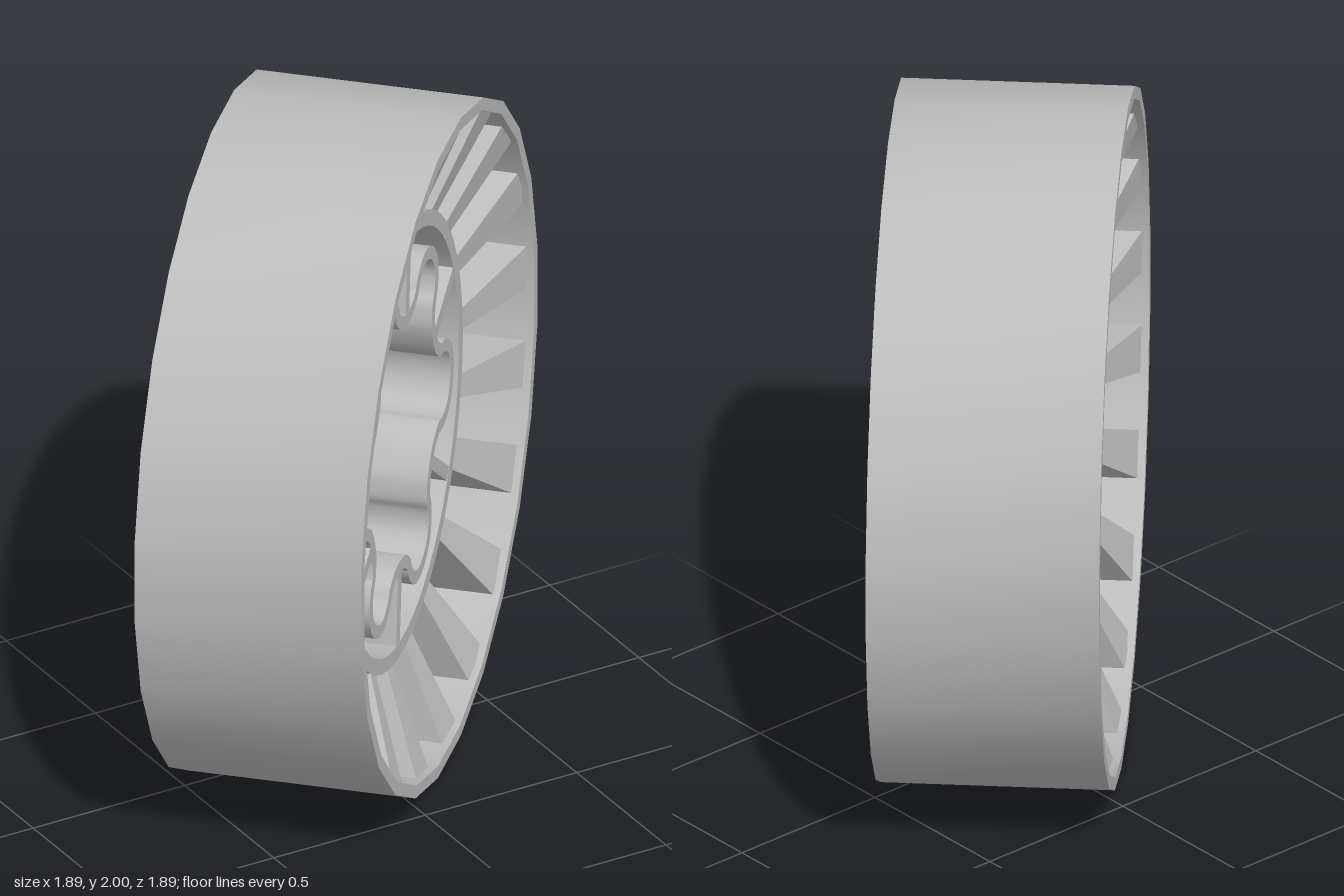
import * as THREE from 'three';
import { toCreasedNormals } from 'three/addons/utils/BufferGeometryUtils.js';

const rubberGrey = new THREE.MeshStandardMaterial({ color: 0xbcbcbc });
const RIM_HALF = 0.333, HUB_HALF = 0.2, LOBES = 6, SPOKES = 20;
const LOBE_START = THREE.MathUtils.degToRad(-6);

function part(name, geometry, parent) {
  const mesh = new THREE.Mesh(geometry, rubberGrey);
  mesh.name = name;
  parent.add(mesh);
  return mesh;
}

// Rectangular-section ring around the z axis
function ring(inner, outer, half, sides) {
  const p = [[inner, -half], [outer, -half], [outer, half], [inner, half], [inner, -half]];
  const g = new THREE.LatheGeometry(p.map(([x, y]) => new THREE.Vector2(x, y)), sides, Math.PI / sides);
  g.rotateX(Math.PI / 2);
  return toCreasedNormals(g, 0.6);
}

// Six-lobed bore outline, grown outward by the given offset
function boreOutline(offset) {
  const half = [[0.53, 0], [0.507, 0.07], [0.45, 0.1], [0.415, 0.1], [0.383, 0.113]];
  const points = [];
  for (let i = 0; i < LOBES; i++) {
    const add = (u, v, a) => points.push(new THREE.Vector3(
      u * Math.cos(a) - v * Math.sin(a), u * Math.sin(a) + v * Math.cos(a), 0));
    const lobe = LOBE_START + i * Math.PI * 2 / LOBES, flat = lobe + Math.PI / LOBES;
    for (let k = half.length - 1; k > 0; k--) add(half[k][0], -half[k][1], lobe);
    for (const [u, v] of half) add(u, v, lobe);
    add(0.368, -0.05, flat);
    add(0.368, 0.05, flat);
  }
  const curve = new THREE.CatmullRomCurve3(points, true);
  const n = 198;
  return Array.from({ length: n }, (_, i) => {
    const p = curve.getPoint(i / n), t = curve.getTangent(i / n);
    return new THREE.Vector2(p.x + t.y * offset, p.y - t.x * offset);
  });
}

function extrude(outline, hole, half) {
  const shape = new THREE.Shape(outline);
  shape.holes.push(new THREE.Path(hole));
  const g = new THREE.ExtrudeGeometry(shape, { depth: half * 2, bevelEnabled: false });
  g.translate(0, 0, -half);
  return toCreasedNormals(g, 0.6);
}

// Spoke that widens toward the rim and leans out to one face of the wheel
function spokeGeometry() {
  const box = new THREE.BoxGeometry(1, 1, 1);
  const pos = box.attributes.position;
  for (let i = 0; i < pos.count; i++) {
    const t = pos.getY(i) + 0.5;
    const z = pos.getZ(i) > 0 ? 0.19 + 0.125 * t : -0.15 + 0.2 * t;
    pos.setXYZ(i, pos.getX(i) * (0.065 + 0.075 * t), 0.64 + 0.335 * t, z);
  }
  const g = box.toNonIndexed();
  g.computeVertexNormals();
  return g;
}

export function createModel() {
  const model = new THREE.Group();
  model.name = 'wheel';
  const wheel = new THREE.Group();
  wheel.name = 'wheelBody';
  model.add(wheel);

  // Faceted outer tread
  const k = 1 / Math.cos(Math.PI / 24);
  part('tread', ring(0.963 * k, k, RIM_HALF, 24), wheel);

  // Two staggered rows of spokes, one leaning to each face, with root tabs
  const spoke = spokeGeometry();
  const tab = new THREE.BoxGeometry(0.072, 0.07, HUB_HALF + 0.14);
  tab.translate(0, 0.672, (HUB_HALF - 0.14) / 2);
  for (const side of [0, 1]) {
    const row = new THREE.Group();
    row.name = side ? 'backSpokes' : 'frontSpokes';
    row.rotation.y = side * Math.PI;
    wheel.add(row);
    for (let i = 0; i < SPOKES; i++) {
      const a = (i + 0.25) * Math.PI * 2 / SPOKES - Math.PI / 2;
      part('spoke', spoke, row).rotation.z = a;
      part('spokeTab', tab, row).rotation.z = a;
    }
  }

  // Hub: outer ring, lobed bore wall and the web between them
  part('hubRing', ring(0.622, 0.668, HUB_HALF, 60), wheel);
  part('boreWall', extrude(boreOutline(0.038), boreOutline(0), HUB_HALF), wheel);
  const disc = new THREE.Path().absarc(0, 0, 0.635, 0, Math.PI * 2).getPoints(60);
  part('hubWeb', extrude(disc, boreOutline(0.018), 0.03), wheel);

  // Ribs from the flats of the bore to the hub ring
  const rib = new THREE.BoxGeometry(0.245, 0.042, HUB_HALF * 2 - 0.002);
  rib.translate(0.51, 0, 0);
  for (let i = 0; i < LOBES; i++) {
    part('hubRib', rib, wheel).rotation.z = LOBE_START + (i + 0.5) * Math.PI * 2 / LOBES;
  }

  // Stand the wheel on its tread, turned toward the corner
  wheel.rotation.y = Math.PI / 4;
  wheel.position.y = 1;
  return model;
}
